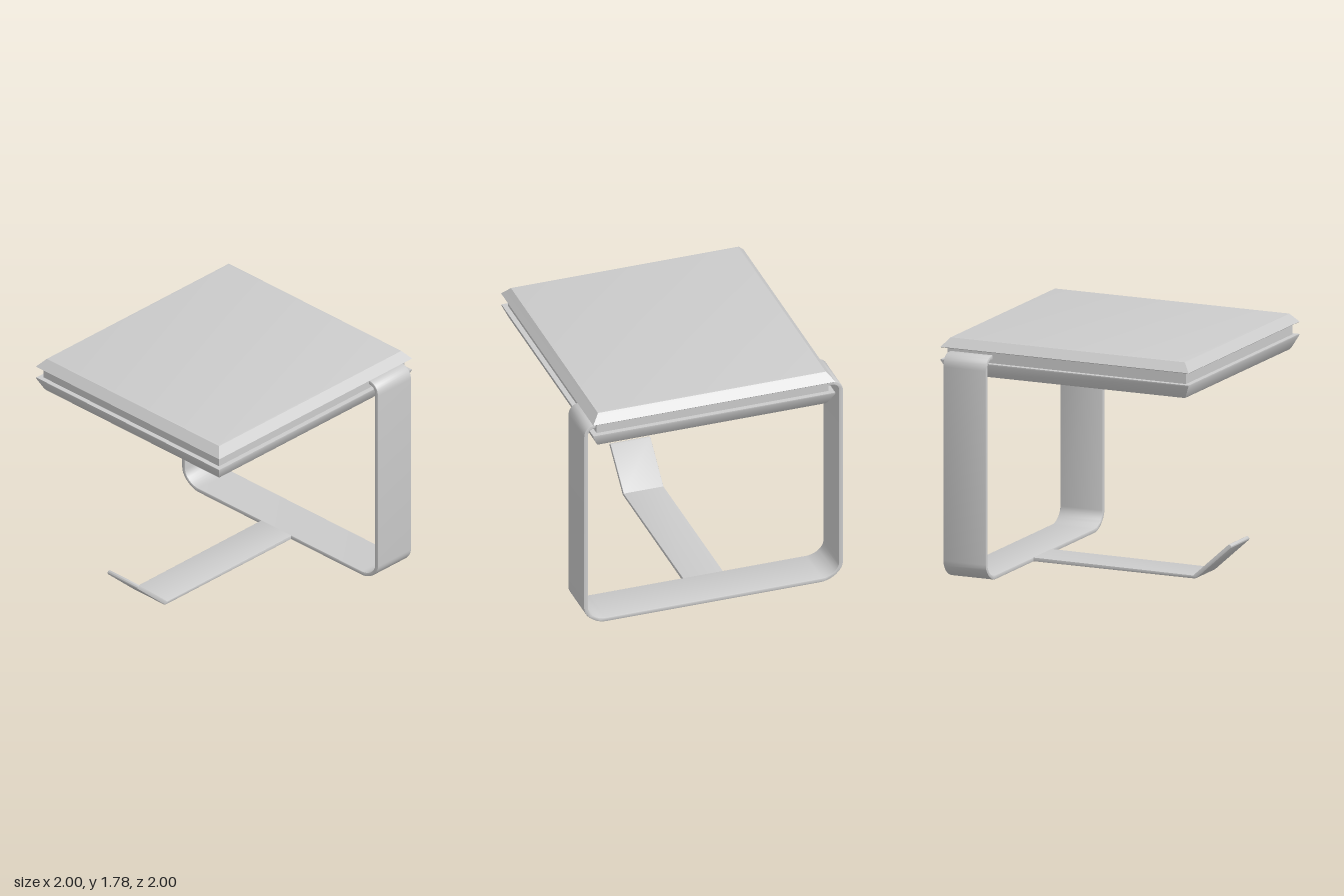
import * as THREE from 'three';
import { toCreasedNormals } from 'three/addons/utils/BufferGeometryUtils.js';

const material = new THREE.MeshStandardMaterial({ color: 0xcccccc });

function addMesh(group, name, geometry) {
  const mesh = new THREE.Mesh(toCreasedNormals(geometry, 0.6), material);
  mesh.name = name;
  group.add(mesh);
  return mesh;
}

// Closed rectangular slab from [y, inset] rings, listed bottom to top
function slabGeometry(rings) {
  const x = 1, zBack = -0.92, zFront = 0.95;
  const pos = [], idx = [];
  for (const [y, d] of rings) {
    pos.push(-x + d, y, zFront - d, x - d, y, zFront - d, x - d, y, zBack + d, -x + d, y, zBack + d);
  }
  for (let r = 0; r < rings.length - 1; r++) {
    for (let i = 0; i < 4; i++) {
      const a = r * 4 + i, b = r * 4 + (i + 1) % 4;
      idx.push(a, b, b + 4, a, b + 4, a + 4);
    }
  }
  const t = (rings.length - 1) * 4;
  idx.push(0, 2, 1, 0, 3, 2, t, t + 1, t + 2, t, t + 2, t + 3);
  const g = new THREE.BufferGeometry();
  g.setAttribute('position', new THREE.Float32BufferAttribute(pos, 3));
  g.setIndex(idx);
  return g;
}

// Extrusion of a strip outline with softly eased edges
function stripGeometry(shape, width) {
  const e = 0.006;
  const g = new THREE.ExtrudeGeometry(shape, {
    depth: width - 2 * e, curveSegments: 10,
    bevelEnabled: true, bevelThickness: e, bevelSize: e, bevelOffset: -e, bevelSegments: 2,
  });
  return g.translate(0, 0, e);
}

// Half of the band outline, from the top end down to the base centre
function halfBand(inset, side) {
  const w = 1 - inset, top = 1.68 - inset, base = inset;
  const path = new THREE.Path();
  path.moveTo(0.88, top);
  path.lineTo(0.91, top);
  path.bezierCurveTo(0.96, top, w, 1.645 - inset, w, 1.585);
  path.lineTo(w, 0.14);
  path.bezierCurveTo(w, 0.07 + base * 0.5, 0.91, base, 0.83, base);
  return path.getPoints(10).map((p) => new THREE.Vector2(p.x * side, p.y));
}

export function createModel() {
  const model = new THREE.Group();
  model.name = 'rollHolder';

  // Top: two chamfered plates around a recessed core
  addMesh(model, 'upperPlate', slabGeometry([[1.707, 0.006], [1.712, 0], [1.765, 0.046], [1.777, 0.056], [1.78, 0.072]]));
  addMesh(model, 'lowerPlate', slabGeometry([[1.508, 0.07], [1.511, 0.055], [1.522, 0.045], [1.61, 0.002], [1.62, 0.002]]));
  addMesh(model, 'plateCore', slabGeometry([[1.61, 0.04], [1.715, 0.04]]));

  // Bent band wrapping beneath the top
  const t = 0.032;
  const outline = [
    ...halfBand(0, -1), ...halfBand(0, 1).reverse(),
    ...halfBand(t, 1), ...halfBand(t, -1).reverse(),
  ];
  const band = addMesh(model, 'supportBand', stripGeometry(new THREE.Shape(outline), 0.345));
  band.rotation.y = Math.PI / 2;
  band.position.x = 0.595;

  // Arm with upturned tip
  const arm = new THREE.Shape();
  arm.moveTo(0.62, 0.001);
  arm.lineTo(0.62, 0.031);
  arm.lineTo(-0.69, 0.025);
  arm.lineTo(-0.972, 0.28);
  arm.quadraticCurveTo(-0.982, 0.288, -0.99, 0.28);
  arm.quadraticCurveTo(-1.002, 0.27, -0.995, 0.258);
  arm.lineTo(-0.725, 0.014);
  arm.quadraticCurveTo(-0.71, 0.001, -0.69, 0.001);
  arm.closePath();
  const armMesh = addMesh(model, 'holderArm', stripGeometry(arm, 0.31));
  armMesh.position.z = -0.195;

  return model;
}
